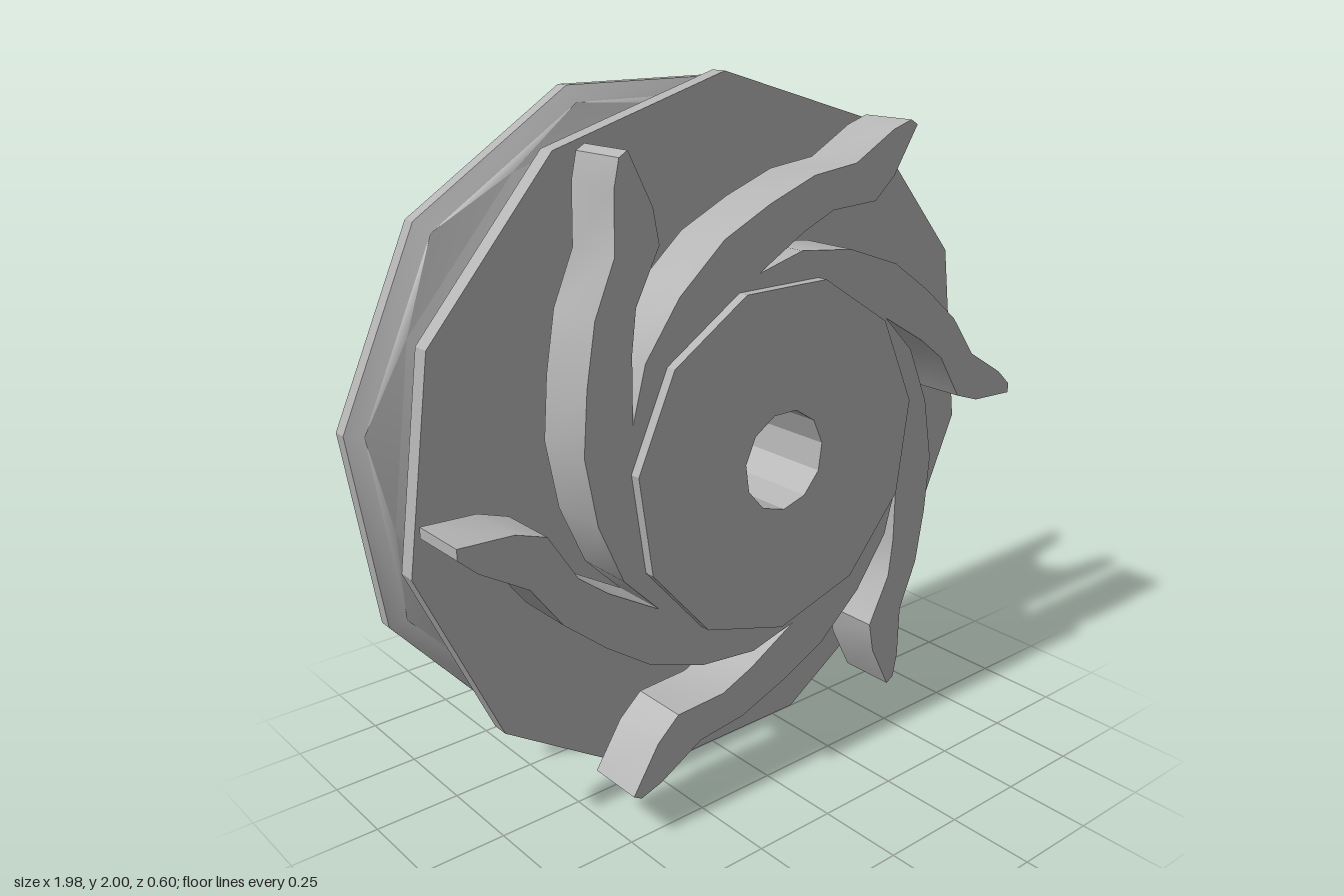
import * as THREE from 'three';
import { toCreasedNormals } from 'three/addons/utils/BufferGeometryUtils.js';

const SIDES = 11;
const UP = Math.PI / 2, DOWN = -Math.PI / 2;

// Closed counter-clockwise loop of points around (cx, cy)
function loop(r, phase, z, cx = 0, cy = 0, n = SIDES) {
  return Array.from({ length: n }, (_, i) => {
    const a = phase + (i / n) * Math.PI * 2;
    return new THREE.Vector3(cx + r * Math.cos(a), cy + r * Math.sin(a), z);
  });
}

// Skin through successive loops; front to back gives an outward surface, back to front an inward one
function loft(loops, crease = 0.5) {
  const pos = [];
  const n = loops[0].length;
  for (let i = 0; i < loops.length - 1; i++) {
    for (let j = 0; j < n; j++) {
      const k = (j + 1) % n;
      const a = loops[i][j], b = loops[i][k], c = loops[i + 1][j], d = loops[i + 1][k];
      for (const p of [a, c, b, b, c, d]) pos.push(p.x, p.y, p.z);
    }
  }
  const g = new THREE.BufferGeometry();
  g.setAttribute('position', new THREE.Float32BufferAttribute(pos, 3));
  return toCreasedNormals(g, crease);
}

// Flat face looking to the back, with holes
function backFace(outline, holes = []) {
  const shape = new THREE.Shape(outline);
  shape.holes = holes.map((h) => new THREE.Path(h));
  const g = new THREE.ShapeGeometry(shape);
  const idx = g.index.array;
  for (let i = 0; i < idx.length; i += 3) [idx[i], idx[i + 1]] = [idx[i + 1], idx[i]];
  g.translate(0, 0, outline[0].z);
  g.computeVertexNormals();
  return g;
}

export function createModel() {
  const model = new THREE.Group();
  const grey = new THREE.MeshStandardMaterial({ color: 0xb4b4b4 });
  grey.name = 'grey metal';
  const body = new THREE.Group();
  body.name = 'pulleyWheel';
  body.position.y = 1;
  model.add(body);
  const add = (name, geometry) => {
    const m = new THREE.Mesh(geometry, grey);
    m.name = name;
    body.add(m);
  };

  // Front hub cap
  add('hubCap', loft([loop(0.14, DOWN, 0.3), loop(0.495, DOWN, 0.3), loop(0.495, DOWN, 0.265)]));

  // Impeller: six swept blades on one ring, as [radius, degrees from blade tip]
  const edge = [
    [0.52, 38], [0.61, 22], [0.675, 13.7], [0.742, 2], [0.83, -0.3], [0.985, -0.7], [0.985, 1],
    [0.935, 4], [0.81, 10.5], [0.755, 21], [0.69, 33], [0.645, 47], [0.595, 64], [0.56, 82],
  ];
  const outline = [];
  for (let k = 0; k < 6; k++) {
    for (const [r, deg] of edge) {
      const a = THREE.MathUtils.degToRad(deg + k * 60);
      outline.push(new THREE.Vector2(r * Math.cos(a), r * Math.sin(a)));
    }
  }
  const blades = new THREE.Shape(outline);
  blades.holes.push(new THREE.Path(loop(0.3, DOWN, 0)));
  const impeller = new THREE.ExtrudeGeometry(blades, { depth: 0.17, bevelEnabled: false });
  impeller.translate(0, 0, 0.1);
  add('impellerBlades', toCreasedNormals(impeller, 0.45));

  // Collar between impeller and pulley
  add('collar', loft([loop(0.5, UP, 0.105), loop(0.5, UP, 0.05)]));

  // Front flange
  add('frontFlange', loft([
    loop(0.45, UP, 0.05), loop(1, UP, 0.05), loop(1, UP, 0), loop(0.96, UP, -0.025),
  ]));

  // Belt groove, twisting half a side into the back flange
  const groove = [
    [-0.025, 0.96], [-0.035, 0.88], [-0.05, 0.83], [-0.08, 0.8], [-0.13, 0.79],
    [-0.18, 0.81], [-0.2, 0.85], [-0.215, 0.9],
  ].map(([z, r]) => loop(r, UP, z));
  groove.push(loop(0.955, UP + Math.PI / SIDES, -0.235));
  add('beltGroove', loft(groove, 0.65));

  // Back flange
  const flangePhase = UP + Math.PI / SIDES;
  const backRim = loop(1, flangePhase, -0.3);
  add('backFlange', loft([loop(0.955, flangePhase, -0.235), loop(1, flangePhase, -0.26), backRim]));

  // Counterbore and through bore
  const counterbore = loop(0.27, DOWN, -0.3);
  add('bore', loft([
    counterbore, loop(0.27, DOWN, -0.2), loop(0.14, DOWN, -0.2), loop(0.14, DOWN, 0.3),
  ]));

  // Blind sockets in the back: four square, one small round
  const holes = [counterbore];
  const socket = (name, at, depth) => {
    const rim = at(-0.3), floor = at(-0.3 + depth);
    holes.push(rim);
    add(name, loft([rim, floor]));
    add(name + 'Floor', backFace(floor));
  };
  for (let k = 0; k < 4; k++) {
    const a = THREE.MathUtils.degToRad(73 + k * 90);
    socket('squareSocket', (z) =>
      loop(0.168, a + Math.PI / 4, z, 0.49 * Math.cos(a), 0.49 * Math.sin(a), 4), 0.2);
  }
  socket('roundSocket', (z) => loop(0.055, DOWN, z, 0.2, -0.35, 10), 0.15);
  add('backPlate', backFace(backRim, holes));

  return model;
}
